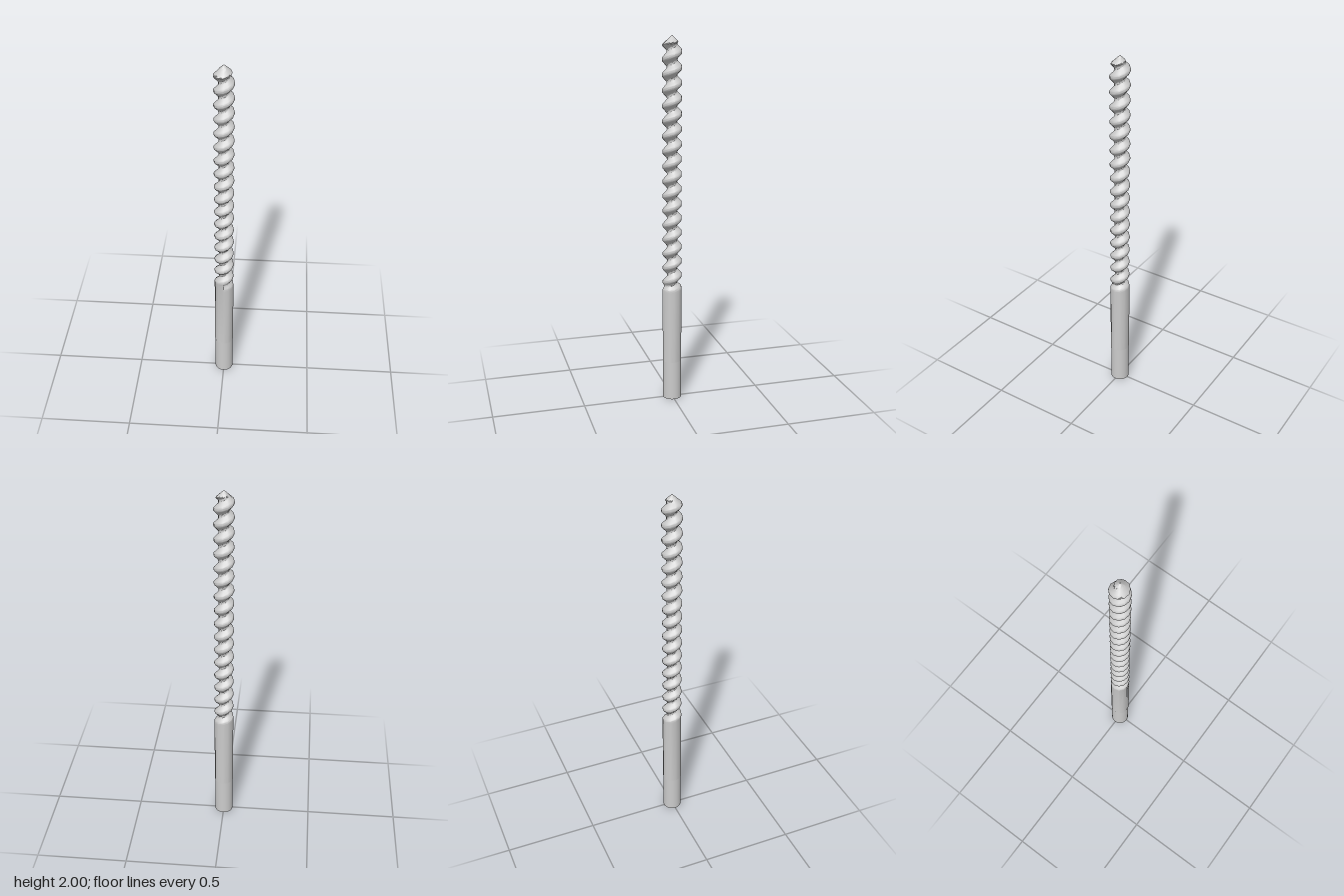
import * as THREE from 'three';
import { toCreasedNormals } from 'three/addons/utils/BufferGeometryUtils.js';

const SIDES = 12, STEPS = 16;          // segments per turn, rows per pitch
const PITCH = 0.08, CREST_Y = 0.68;    // crest height at the front (+z)
const OUTER = 0.053, CORE = 0.028;
const TOP = 2, BODY_BASE = 0.22;

// Radius of the threaded body at a height and a phase within one pitch
function bodyRadius(y, phase) {
  const d = Math.abs(phase - Math.round(phase));               // 0 crest, 0.5 groove
  const groove = THREE.MathUtils.clamp((d - 0.1) / 0.32, 0, 1);
  const runOut = THREE.MathUtils.smoothstep(y, 0.635, 0.675);  // groove fades into shank
  const r = OUTER - (OUTER - CORE) * groove * runOut;
  return Math.min(r, (TOP - y) * 1.08);                        // conical point
}

// Rows follow the helix so that the crest and groove edges stay clean
function threadedBodyGeometry() {
  const pos = [], index = [];
  const first = -18;
  const last = Math.ceil((TOP - CREST_Y) / PITCH * STEPS);
  const rows = [];
  for (let k = first; k <= last; k++) rows.push(k);
  rows.unshift(-1000, -1000);                                  // base ring, centre and rim
  rows.forEach((k, r) => {
    for (let i = 0; i <= SIDES; i++) {
      const a = (i % SIDES) / SIDES * Math.PI * 2;
      const raw = CREST_Y + PITCH * (k / STEPS + i / SIDES);
      const y = THREE.MathUtils.clamp(raw, BODY_BASE, TOP);
      const rad = r === 0 ? 0 : bodyRadius(y, k / STEPS);
      pos.push(Math.sin(a) * rad, y, Math.cos(a) * rad);
    }
  });
  const w = SIDES + 1;
  for (let r = 0; r < rows.length - 1; r++) {
    for (let i = 0; i < SIDES; i++) {
      const a = r * w + i, b = a + 1, c = b + w, d = a + w;
      index.push(a, b, c, a, c, d);
    }
  }
  const geo = new THREE.BufferGeometry();
  geo.setAttribute('position', new THREE.Float32BufferAttribute(pos, 3));
  geo.setIndex(index);
  return toCreasedNormals(geo, 0.65);
}

export function createModel() {
  const group = new THREE.Group();
  const material = new THREE.MeshStandardMaterial({ color: 0xcccccc });

  // Helical body with shank collar and pointed tip
  const body = new THREE.Mesh(threadedBodyGeometry(), material);
  body.name = 'threadedBody';
  group.add(body);

  // Slightly thinner round shank end
  const shank = new THREE.Mesh(new THREE.CylinderGeometry(0.051, 0.051, 0.24, 32), material);
  shank.position.y = 0.12;
  shank.name = 'shank';
  group.add(shank);

  return group;
}
